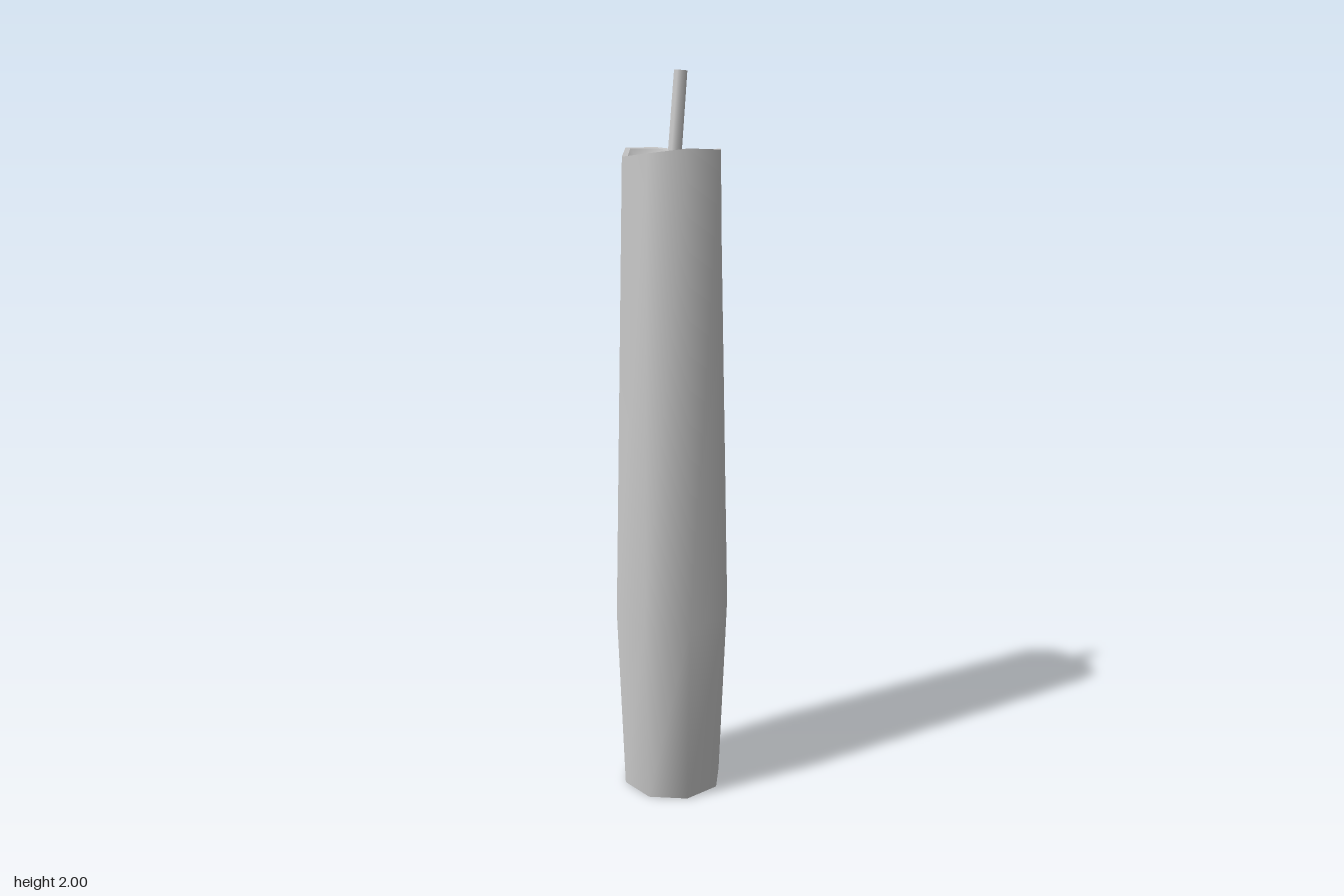
import * as THREE from 'three';

const SIDES = 8;
// Uneven melted rim: height at each corner, going from +x round towards +z
const rimHeight = [1.80, 1.805, 1.813, 1.80, 1.785, 1.80, 1.795, 1.785];
const rimRadius = [0.13, 0.139, 0.136, 0.14, 0.136, 0.14, 0.142, 0.137];

// Ring of corners from radius and height rules
function ring(radius, height) {
  return Array.from({ length: SIDES }, (_, i) => {
    const a = (i / SIDES) * Math.PI * 2;
    return [Math.cos(a) * radius(i), height(i), Math.sin(a) * radius(i)];
  });
}
const flatRing = (r, y) => ring(() => r, () => y);

// Smooth skin through successive rings
function loft(name, rings, material) {
  const index = [];
  for (let k = 0; k < rings.length - 1; k++) {
    for (let i = 0; i < SIDES; i++) {
      const j = (i + 1) % SIDES;
      const a = k * SIDES + i, b = k * SIDES + j;
      index.push(a, a + SIDES, b, b, a + SIDES, b + SIDES);
    }
  }
  const geometry = new THREE.BufferGeometry();
  geometry.setAttribute('position', new THREE.Float32BufferAttribute(rings.flat(2), 3));
  geometry.setIndex(index);
  geometry.computeVertexNormals();
  const mesh = new THREE.Mesh(geometry, material);
  mesh.name = name;
  return mesh;
}

export function createModel() {
  const model = new THREE.Group();
  model.name = 'candle';
  const material = new THREE.MeshStandardMaterial({ color: 0xcccccc });

  const base = flatRing(0.142, 0);
  const rim = ring(i => rimRadius[i], i => rimHeight[i]);
  const lip = ring(i => rimRadius[i] - 0.014, i => rimHeight[i] - 0.003);

  // Wax body, bulging below the middle
  model.add(loft('waxBody', [base, flatRing(0.163, 0.53), rim], material));
  model.add(loft('baseCap', [flatRing(0, 0), base], material));

  // Thin rim and the melted hollow inside it
  model.add(loft('rim', [rim, lip], material));
  model.add(loft('meltedHollow', [lip, flatRing(0.09, 1.762), flatRing(0, 1.755)], material));

  // Leaning wick
  const foot = new THREE.Vector3(0.002, 1.745, 0.001);
  const tip = new THREE.Vector3(0.025, 1.998, -0.011);
  const lean = tip.clone().sub(foot);
  const wick = new THREE.Mesh(new THREE.CylinderGeometry(0.018, 0.019, lean.length(), SIDES), material);
  wick.name = 'wick';
  wick.position.copy(foot).add(tip).multiplyScalar(0.5);
  wick.quaternion.setFromUnitVectors(new THREE.Vector3(0, 1, 0), lean.normalize());
  model.add(wick);

  return model;
}
